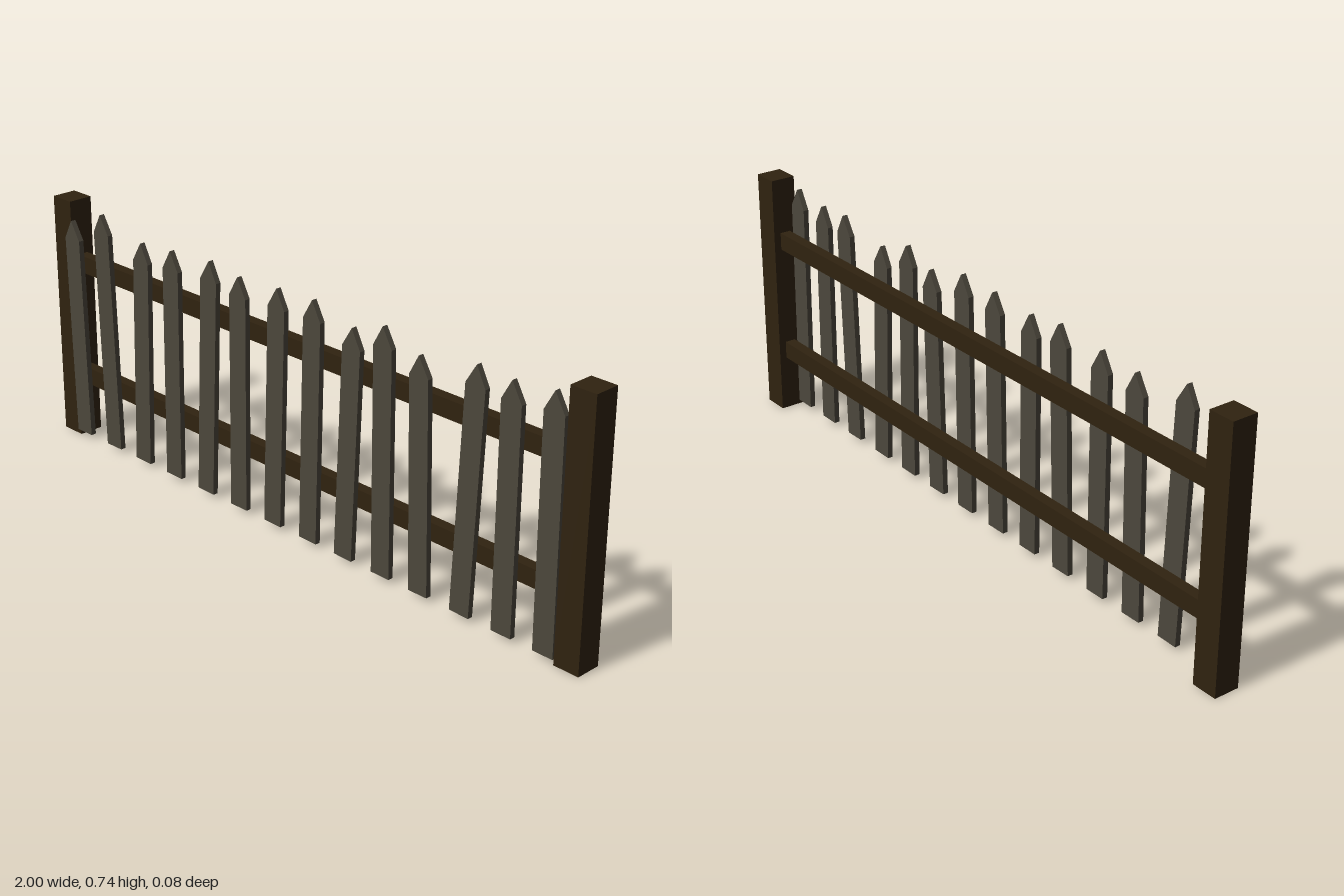
import * as THREE from 'three';

export function createModel() {
  const fence = new THREE.Group();
  fence.name = 'picketFence';
  const darkWood = new THREE.MeshStandardMaterial({ color: 0x302310 });
  darkWood.name = 'dark brown wood';
  const greyWood = new THREE.MeshStandardMaterial({ color: 0x4c473c });
  greyWood.name = 'weathered grey wood';

  const add = (name, geometry, material, x, y, z) => {
    const mesh = new THREE.Mesh(geometry, material);
    mesh.name = name;
    mesh.position.set(x, y, z);
    fence.add(mesh);
  };

  // End posts
  for (const [name, side] of [['leftPost', 1], ['rightPost', -1]]) {
    add(name, new THREE.BoxGeometry(0.077, 0.738, 0.075), darkWood, side * 0.9615, 0.369, 0);
  }

  // Horizontal rails between the posts
  for (const [name, y] of [['lowerRail', 0.193], ['upperRail', 0.546]]) {
    add(name, new THREE.BoxGeometry(1.85, 0.052, 0.032), darkWood, 0, y, 0);
  }

  // Crooked pickets: foot x, tip x, tip height
  const pickets = [
    [-0.904, -0.922, 0.68], [-0.762, -0.786, 0.73], [-0.626, -0.607, 0.69],
    [-0.487, -0.479, 0.70], [-0.348, -0.318, 0.712], [-0.209, -0.203, 0.697],
    [-0.072, -0.051, 0.706], [0.067, 0.083, 0.711], [0.201, 0.227, 0.676],
    [0.339, 0.334, 0.711], [0.473, 0.457, 0.67], [0.615, 0.644, 0.703],
    [0.754, 0.754, 0.697], [0.888, 0.882, 0.711],
  ];
  const half = 0.032, foot = 0.013, point = 0.056;
  pickets.forEach(([footX, tipX, tipY], i) => {
    const lean = tipX - footX;
    const shoulderY = tipY - point;
    const shoulderX = lean * (shoulderY - foot) / (tipY - foot);
    const tilt = half * lean / (tipY - foot); // shoulders and foot tip with the lean
    const outline = new THREE.Shape([
      new THREE.Vector2(-half, foot + tilt / 2),
      new THREE.Vector2(half, foot - tilt / 2),
      new THREE.Vector2(shoulderX + half, shoulderY - tilt),
      new THREE.Vector2(lean, tipY),
      new THREE.Vector2(shoulderX - half, shoulderY + tilt),
    ]);
    const geometry = new THREE.ExtrudeGeometry(outline, { depth: 0.016, bevelEnabled: false });
    add(`picket${i + 1}`, geometry, greyWood, footX, 0, 0.022);
  });

  return fence;
}
